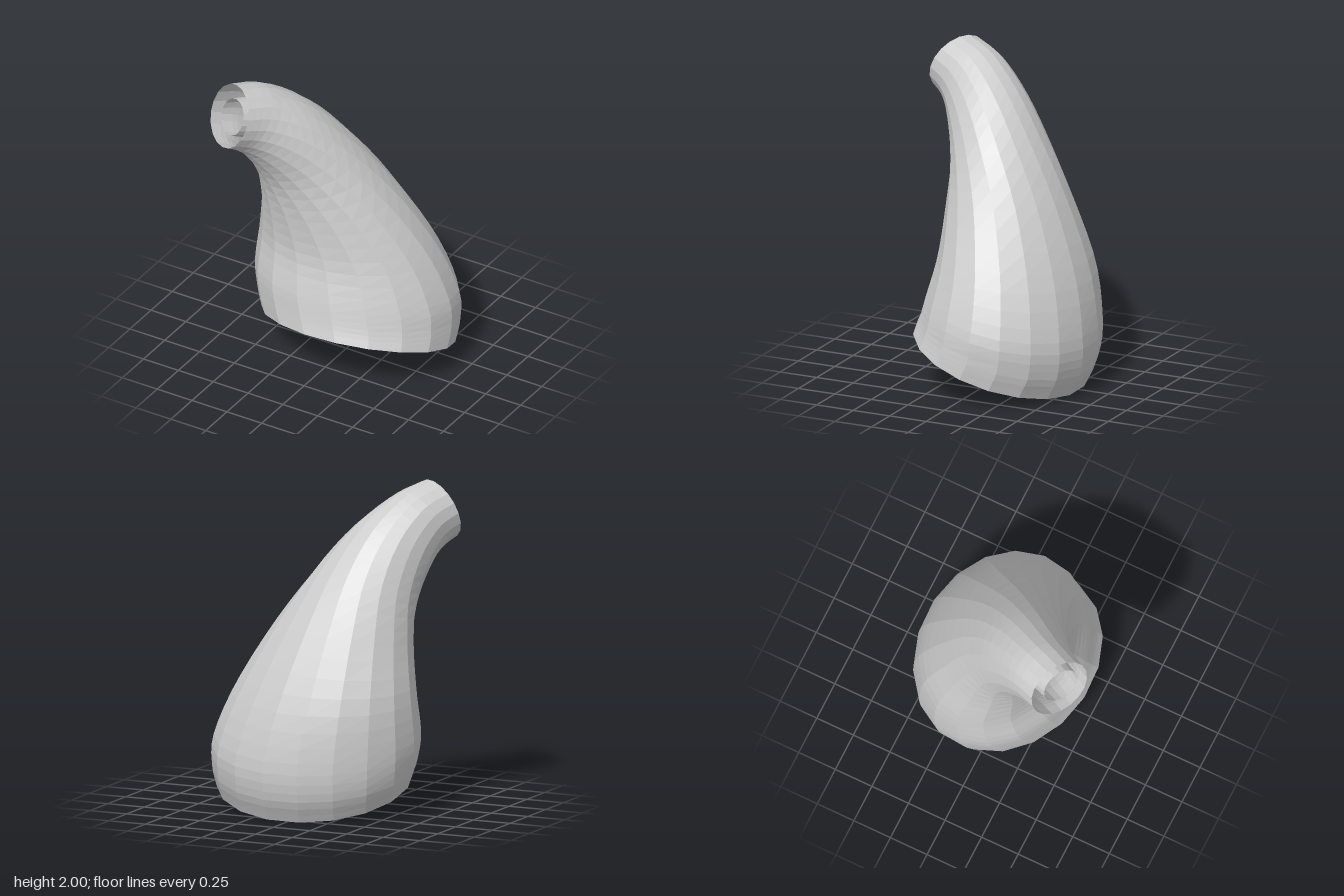
import * as THREE from 'three';

const SIDES = 18, ROWS = 28;

// Elliptical stations from base to spout: centre, sideways half-axis, backward half-axis
const stations = [
  [[0.06, 0.178, -0.043], [0.622, 0.01, -0.025], [-0.03, -0.178, -0.515]],
  [[0.035, 0.3, -0.09], [0.645, 0.01, -0.03], [-0.02, -0.14, -0.538]],
  [[0.01, 0.48, -0.11], [0.648, 0.01, -0.025], [0, -0.1, -0.528]],
  [[-0.045, 0.77, -0.1], [0.575, 0.02, 0], [0, -0.04, -0.46]],
  [[-0.13, 1.11, -0.01], [0.44, 0.05, 0.03], [0.02, 0.03, -0.37]],
  [[-0.23, 1.4, 0.105], [0.32, 0.06, 0.08], [0.06, 0.09, -0.278]],
  [[-0.335, 1.62, 0.245], [0.24, 0.04, 0.1], [0.07, 0.14, -0.205]],
  [[-0.435, 1.755, 0.395], [0.19, 0.01, 0.1], [0.05, 0.18, -0.125]],
  [[-0.51, 1.815, 0.54], [0.175, 0, 0.098], [0.035, 0.185, -0.065]],
];

// Smooth curves through the centres and both half-axes
const [centre, side, back] = [0, 1, 2].map((k) =>
  new THREE.CatmullRomCurve3(stations.map((s) => new THREE.Vector3(...s[k])), false, 'catmullrom', 0.5));

// Open curved tube; shape(t) gives the scale of each half-axis and a sideways shift
function shell(name, shape) {
  const pos = [], index = [];
  for (let j = 0; j <= ROWS; j++) {
    const t = j / ROWS;
    const c = centre.getPoint(t), a = side.getPoint(t), b = back.getPoint(t);
    const { sa, sb, dx } = shape(t);
    for (let i = 0; i < SIDES; i++) {
      const ang = (i / SIDES) * Math.PI * 2;
      const p = c.clone()
        .addScaledVector(a, sa * Math.cos(ang))
        .addScaledVector(b, sb * Math.sin(ang));
      pos.push(p.x + dx, p.y, p.z);
    }
  }
  for (let j = 0; j < ROWS; j++) {
    for (let i = 0; i < SIDES; i++) {
      const n = (i + 1) % SIDES;
      const p = j * SIDES + i, q = j * SIDES + n;
      index.push(p, q, q + SIDES, p, q + SIDES, p + SIDES);
    }
  }
  const geo = new THREE.BufferGeometry();
  geo.setAttribute('position', new THREE.Float32BufferAttribute(pos, 3));
  geo.setIndex(index);
  geo.computeVertexNormals();
  const mesh = new THREE.Mesh(geo, new THREE.MeshStandardMaterial({
    color: 0xcccccc, flatShading: true, side: THREE.DoubleSide,
  }));
  mesh.name = name;
  return mesh;
}

export function createModel() {
  const group = new THREE.Group();
  group.name = 'curvedHorn';
  // Outer skin
  group.add(shell('outerWall', () => ({ sa: 1, sb: 1, dx: 0 })));
  // Inner lining, narrowing towards the spout
  group.add(shell('innerWall', (t) => ({
    sa: THREE.MathUtils.lerp(0.77, 0.6, t),
    sb: THREE.MathUtils.lerp(0.84, 0.57, t),
    dx: THREE.MathUtils.lerp(0.035, 0.02, t),
  })));
  return group;
}
